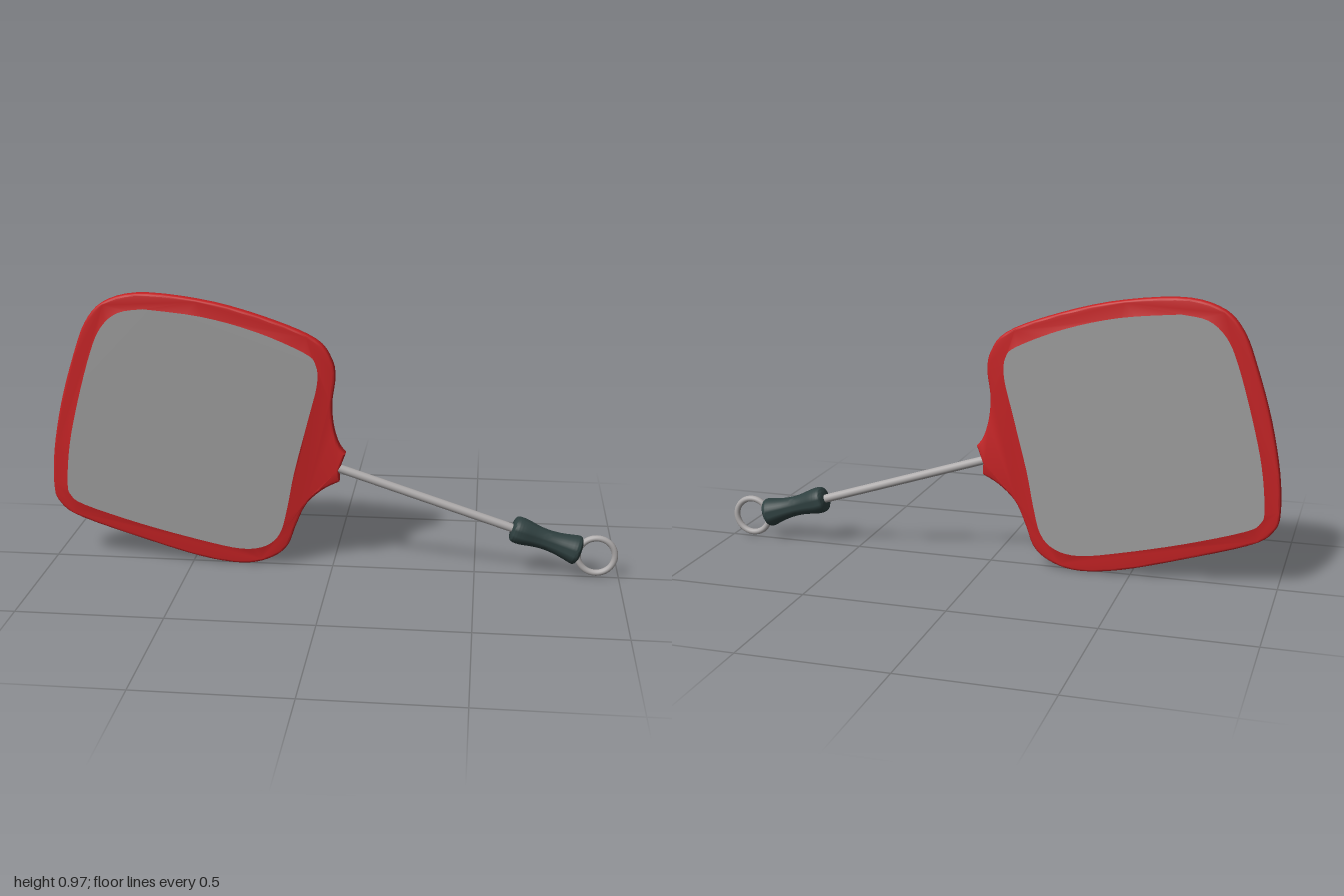
import * as THREE from 'three';
import { toCreasedNormals } from 'three/addons/utils/BufferGeometryUtils.js';

const mat = (name, color, side = THREE.FrontSide) =>
  new THREE.MeshStandardMaterial({ name, color, side });

const toPoints = (pairs) => pairs.map(([x, y]) => new THREE.Vector2(x, y));

// Rim outline, from the lower socket corner round to the upper one
const OUTER = toPoints([
  [0.024, 0.324], [-0.035, 0.291], [-0.094, 0.233], [-0.131, 0.152], [-0.163, 0.072],
  [-0.227, 0.024], [-0.324, 0.003], [-0.473, 0.022], [-0.687, 0.083], [-0.912, 0.158],
  [-0.981, 0.211], [-0.998, 0.27], [-0.99, 0.404], [-0.955, 0.58], [-0.901, 0.757],
  [-0.853, 0.874], [-0.783, 0.944], [-0.65, 0.974], [-0.42, 0.949], [-0.206, 0.89],
  [-0.056, 0.826], [-0.003, 0.757], [0.008, 0.692], [-0.003, 0.602], [0.003, 0.521],
  [0.022, 0.457], [0.045, 0.425],
]);

// Opening inside the rim
const INNER = toPoints([
  [-0.65, 0.928], [-0.447, 0.906], [-0.259, 0.858], [-0.094, 0.789], [-0.051, 0.746],
  [-0.045, 0.671], [-0.078, 0.537], [-0.126, 0.35], [-0.152, 0.217], [-0.179, 0.12],
  [-0.233, 0.067], [-0.324, 0.051], [-0.473, 0.078], [-0.687, 0.131], [-0.89, 0.195],
  [-0.944, 0.233], [-0.955, 0.286], [-0.939, 0.43], [-0.901, 0.591], [-0.848, 0.767],
  [-0.805, 0.858], [-0.741, 0.912],
]);

const MID_Z = -0.005;

export function createModel() {
  const red = mat('red plastic', 0xc42224);
  const gray = mat('gray mesh', 0x9c9c9c, THREE.DoubleSide);
  const metal = mat('metal', 0xaeabab);
  const dark = mat('dark grip', 0x2f4040);

  const model = new THREE.Group();
  model.name = 'swatter';
  const add = (name, geometry, material, parent = model) => {
    const mesh = new THREE.Mesh(geometry, material);
    mesh.name = name;
    parent.add(mesh);
    return mesh;
  };

  // Rim: one bevelled plate with an opening, thickened towards the socket
  const opening = new THREE.SplineCurve([...INNER, INNER[0]]).getPoints(88).slice(0, -1);
  const outline = new THREE.SplineCurve(OUTER).getPoints(108);
  outline.push(new THREE.Vector2(0.022, 0.362));
  const rimShape = new THREE.Shape(outline);
  rimShape.holes.push(new THREE.Path(opening));
  let rim = new THREE.ExtrudeGeometry(rimShape, {
    depth: 0.016, bevelEnabled: true, bevelThickness: 0.009,
    bevelSize: 0.008, bevelOffset: -0.008, bevelSegments: 3,
  });
  rim.translate(0, 0, MID_Z - 0.008);
  const pos = rim.attributes.position;
  for (let i = 0; i < pos.count; i++) {
    const d = Math.hypot(pos.getX(i) - 0.03, pos.getY(i) - 0.37);
    const swell = 1 + 0.32 * (1 - THREE.MathUtils.smoothstep(d, 0.06, 0.2));
    pos.setZ(i, MID_Z + (pos.getZ(i) - MID_Z) * swell);
  }
  rim = toCreasedNormals(rim, 0.6);
  add('rim', rim, red);

  // Mesh panel, its edge tucked into the rim
  const panelPoints = opening.map(
    (p) => new THREE.Vector2(-0.5 + (p.x + 0.5) * 1.02, 0.49 + (p.y - 0.49) * 1.02));
  add('meshPanel', new THREE.ShapeGeometry(new THREE.Shape(panelPoints)), gray)
    .position.z = MID_Z;

  // Handle: local +y runs from the socket to the ring
  const start = new THREE.Vector3(0.015, 0.372, 0);
  const end = new THREE.Vector3(0.86, 0.098, 0);
  const length = start.distanceTo(end);
  const handle = new THREE.Group();
  handle.name = 'handle';
  handle.position.copy(start);
  handle.quaternion.setFromUnitVectors(
    new THREE.Vector3(0, 1, 0), end.clone().sub(start).normalize());
  model.add(handle);

  add('rod', new THREE.CylinderGeometry(0.015, 0.015, length, 20), metal, handle)
    .position.y = length / 2;

  // Waisted grip with rounded ends
  const gripProfile = new THREE.SplineCurve(toPoints([
    [0.032, 0], [0.043, 0.006], [0.047, 0.02], [0.046, 0.045], [0.039, 0.085],
    [0.036, 0.12], [0.038, 0.16], [0.045, 0.2], [0.051, 0.228], [0.049, 0.24], [0.036, 0.248],
  ])).getPoints(44);
  const gripPoints = [new THREE.Vector2(0, 0), ...gripProfile, new THREE.Vector2(0, 0.248)];
  const grip = toCreasedNormals(new THREE.LatheGeometry(gripPoints, 32), 0.7);
  add('grip', grip, dark, handle).position.y = length - 0.245;

  // Hanging ring
  add('hangingRing', new THREE.TorusGeometry(0.064, 0.011, 12, 48), metal)
    .position.set(0.92, 0.083, 0);

  return model;
}
